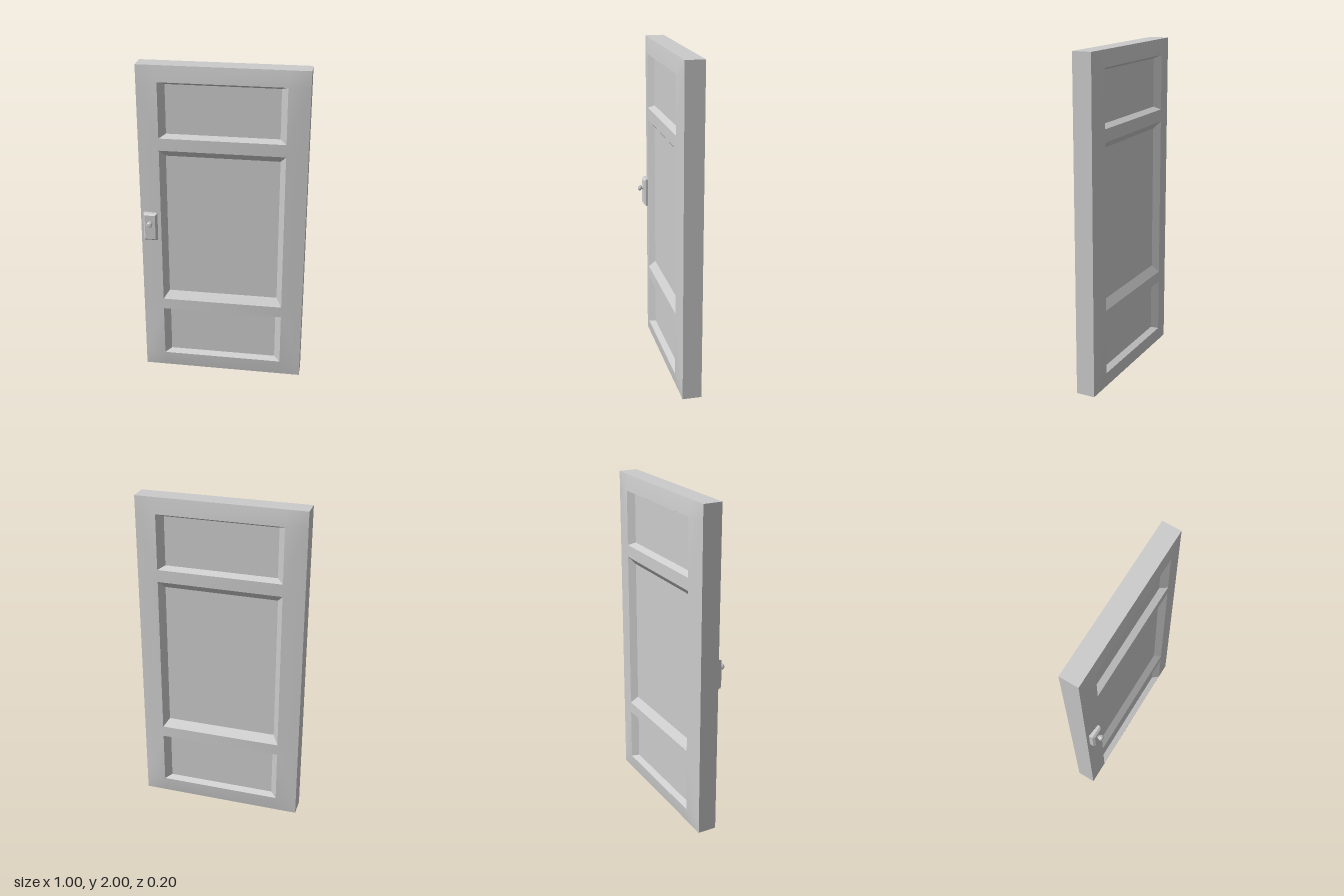
import * as THREE from 'three';
import { toCreasedNormals } from 'three/addons/utils/BufferGeometryUtils.js';

const HALF_RIM = 0.0575;   // half thickness at the outer edge
const HALF_MID = 0.0725;   // half thickness at the raised middle
const RECESS = 0.036;      // depth of the sunken panels
const XS = [-0.5, -0.373, 0.373, 0.5];
const YS = [0, 0.1, 0.43, 0.5, 1.495, 1.57, 1.905, 2];
// inset of each panel floor, keyed by its row: [side, bottom, top]
const PANELS = { 1: [0.038, 0.017, 0.016], 3: [0.034, 0.048, 0.042], 5: [0.038, 0.02, 0.018] };

function surface(quads) {
  const pos = [];
  for (const [a, b, c, d] of quads) pos.push(...a, ...b, ...c, ...a, ...c, ...d);
  const g = new THREE.BufferGeometry();
  g.setAttribute('position', new THREE.Float32BufferAttribute(pos, 3));
  return toCreasedNormals(g, 0.4);
}

// One side of the door: bevelled frame with three sunken panels
function doorFace() {
  const quads = [];
  const corner = (i, j) => {
    const rim = i === 0 || i === XS.length - 1 || j === 0 || j === YS.length - 1;
    return [XS[i], YS[j], rim ? HALF_RIM : HALF_MID];
  };
  for (let i = 0; i < XS.length - 1; i++) {
    for (let j = 0; j < YS.length - 1; j++) {
      const q = [corner(i, j), corner(i + 1, j), corner(i + 1, j + 1), corner(i, j + 1)];
      if (i === 1 && PANELS[j]) {
        const [s, b, t] = PANELS[j];
        const z = HALF_MID - RECESS;
        const x0 = XS[1] + s, x1 = XS[2] - s, y0 = YS[j] + b, y1 = YS[j + 1] - t;
        const floor = [[x0, y0, z], [x1, y0, z], [x1, y1, z], [x0, y1, z]];
        quads.push(floor);
        for (let k = 0; k < 4; k++) {
          const n = (k + 1) % 4;
          quads.push([q[k], q[n], floor[n], floor[k]]);
        }
      } else {
        // mitre the corners from the outer corner inwards
        const turn = (i === 0) !== (j < 3);
        quads.push(turn ? [q[1], q[2], q[3], q[0]] : q);
      }
    }
  }
  return surface(quads);
}

// The four narrow sides of the slab
function doorEdges() {
  const loop = [[-0.5, 0], [0.5, 0], [0.5, 2], [-0.5, 2]];
  return surface(loop.map(([x, y], k) => {
    const [u, v] = loop[(k + 1) % 4];
    return [[x, y, -HALF_RIM], [u, v, -HALF_RIM], [u, v, HALF_RIM], [x, y, HALF_RIM]];
  }));
}

export function createModel() {
  const model = new THREE.Group();
  model.name = 'door';
  const mat = new THREE.MeshStandardMaterial({ color: 0xcccccc });
  const flat = new THREE.MeshStandardMaterial({ color: 0xcccccc, flatShading: true });
  const add = (parent, name, geo, m) => {
    const mesh = new THREE.Mesh(geo, m);
    mesh.name = name;
    parent.add(mesh);
    return mesh;
  };

  // Slab
  const slab = new THREE.Group();
  slab.name = 'slab';
  slab.position.z = -0.0275;
  model.add(slab);
  const face = doorFace();
  add(slab, 'frontFace', face, mat);
  add(slab, 'backFace', face, mat).rotation.y = Math.PI;
  add(slab, 'edges', doorEdges(), mat);

  // Handle on the front
  const handle = new THREE.Group();
  handle.name = 'handle';
  handle.position.set(-0.437, 1.005, 0);
  model.add(handle);

  // Backplate with a bevelled front rim
  const plate = new THREE.BoxGeometry(0.084, 0.177, 0.04, 1, 1, 2);
  const p = plate.attributes.position;
  for (let i = 0; i < p.count; i++) {
    const z = p.getZ(i);
    if (z > 0.01) p.setXYZ(i, p.getX(i) * 0.76, p.getY(i) * 0.88, 0.068);
    else p.setZ(i, z < -0.01 ? 0.028 : 0.056);
  }
  add(handle, 'backplate', plate, flat);

  // Knob turned on a lathe
  const profile = [[0.016, 0.064], [0.016, 0.069], [0.011, 0.073], [0.012, 0.077],
    [0.018, 0.084], [0.018, 0.092], [0.013, 0.099], [0, 0.1]];
  const knob = new THREE.LatheGeometry(profile.map(([r, h]) => new THREE.Vector2(r, h)), 8);
  knob.rotateX(Math.PI / 2);
  add(handle, 'knob', knob, flat).position.y = 0.025;

  return model;
}
